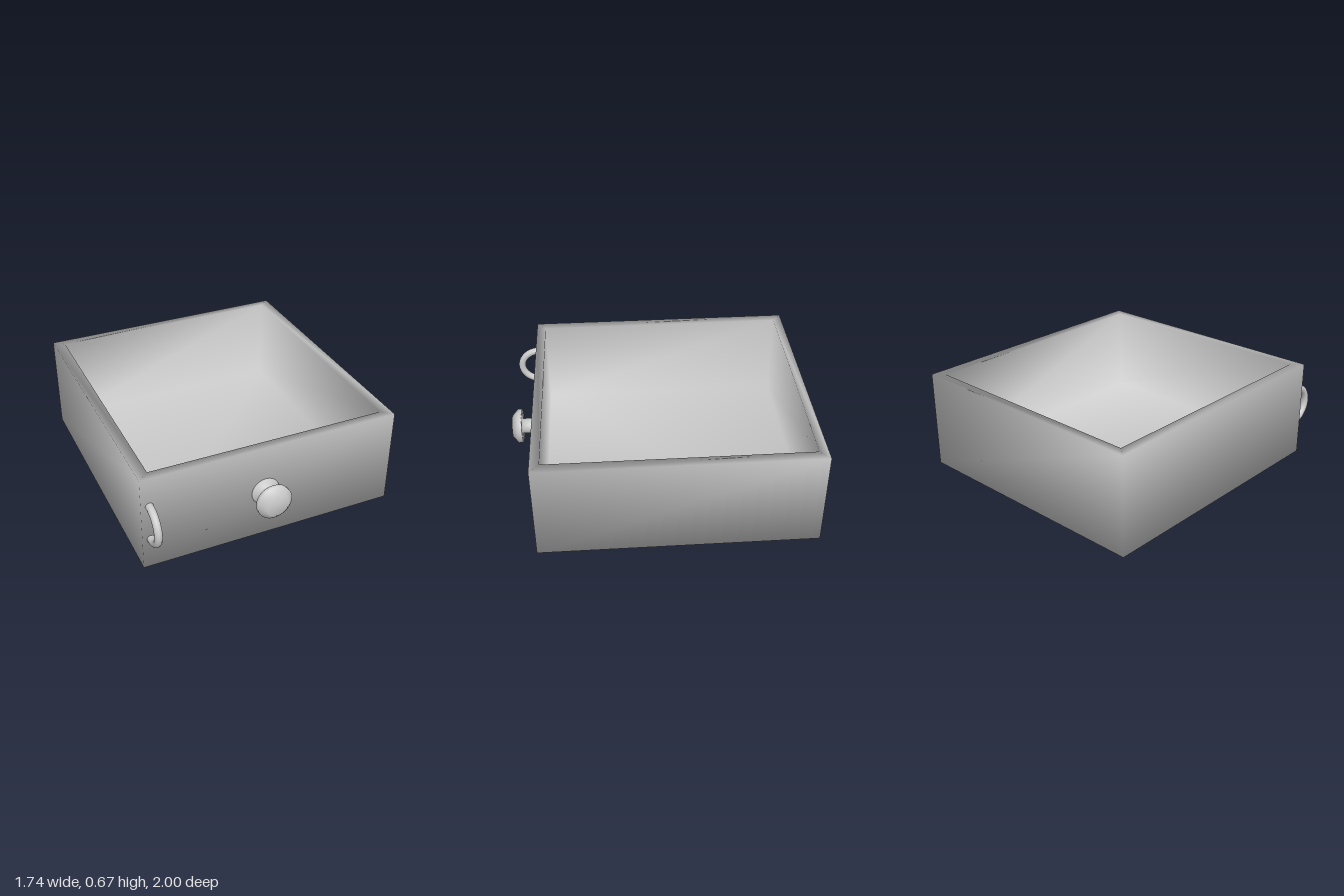
import * as THREE from 'three';

const FRONT = 0.83;
const material = new THREE.MeshStandardMaterial({ color: 0xcccccc });

// Open tray made of four rectangular rings: outer bottom, outer top, inner top, inner floor.
// Corners share vertices, so the shading runs smoothly around the edges.
function trayGeometry() {
  const rings = [
    { x: 0.87, back: -1, front: FRONT, y: 0 },
    { x: 0.87, back: -1, front: FRONT, y: 0.665 },
    { x: 0.797, back: -0.94, front: 0.767, y: 0.665 },
    { x: 0.797, back: -0.94, front: 0.767, y: 0.07 },
  ];
  const positions = [];
  const index = [];
  for (const { x, back, front, y } of rings) {
    positions.push(-x, y, front, x, y, front, x, y, back, -x, y, back);
  }
  for (let r = 0; r < rings.length - 1; r++) {
    for (let i = 0; i < 4; i++) {
      const a = r * 4 + i;
      const b = r * 4 + ((i + 1) % 4);
      index.push(a, b, b + 4, a, b + 4, a + 4);
    }
  }
  index.push(0, 3, 2, 0, 2, 1); // underside
  index.push(12, 13, 14, 12, 14, 15); // inner floor
  const geometry = new THREE.BufferGeometry();
  geometry.setAttribute('position', new THREE.Float32BufferAttribute(positions, 3));
  geometry.setIndex(index);
  geometry.computeVertexNormals();
  return geometry;
}

// Turned knob: base flange, neck and bevelled cap, from the drawer face outwards.
function knobGeometry() {
  const profile = [
    [0.095, 0], [0.092, 0.01], [0.056, 0.025], [0.052, 0.04], [0.052, 0.098],
    [0.113, 0.098], [0.118, 0.104], [0.118, 0.13], [0.075, 0.168], [0, 0.17],
  ].map(([r, h]) => new THREE.Vector2(r, h));
  return new THREE.LatheGeometry(profile, 24).rotateX(Math.PI / 2);
}

// Half-oval pull standing out from the face.
function pullGeometry() {
  const points = [];
  for (let i = 0; i <= 12; i++) {
    const t = -Math.PI / 2 + (Math.PI * i) / 12;
    points.push(new THREE.Vector3(0, 0.125 * Math.sin(t), 0.138 * Math.cos(t)));
  }
  return new THREE.TubeGeometry(new THREE.CatmullRomCurve3(points), 24, 0.026, 12);
}

export function createModel() {
  const model = new THREE.Group();
  model.name = 'drawer';
  const add = (name, geometry, x, y, z) => {
    const mesh = new THREE.Mesh(geometry, material);
    mesh.name = name;
    mesh.position.set(x, y, z);
    model.add(mesh);
  };
  add('drawerTray', trayGeometry(), 0, 0, 0);
  add('knob', knobGeometry(), -0.045, 0.335, FRONT);
  add('sidePull', pullGeometry(), -0.815, 0.34, FRONT);
  return model;
}
